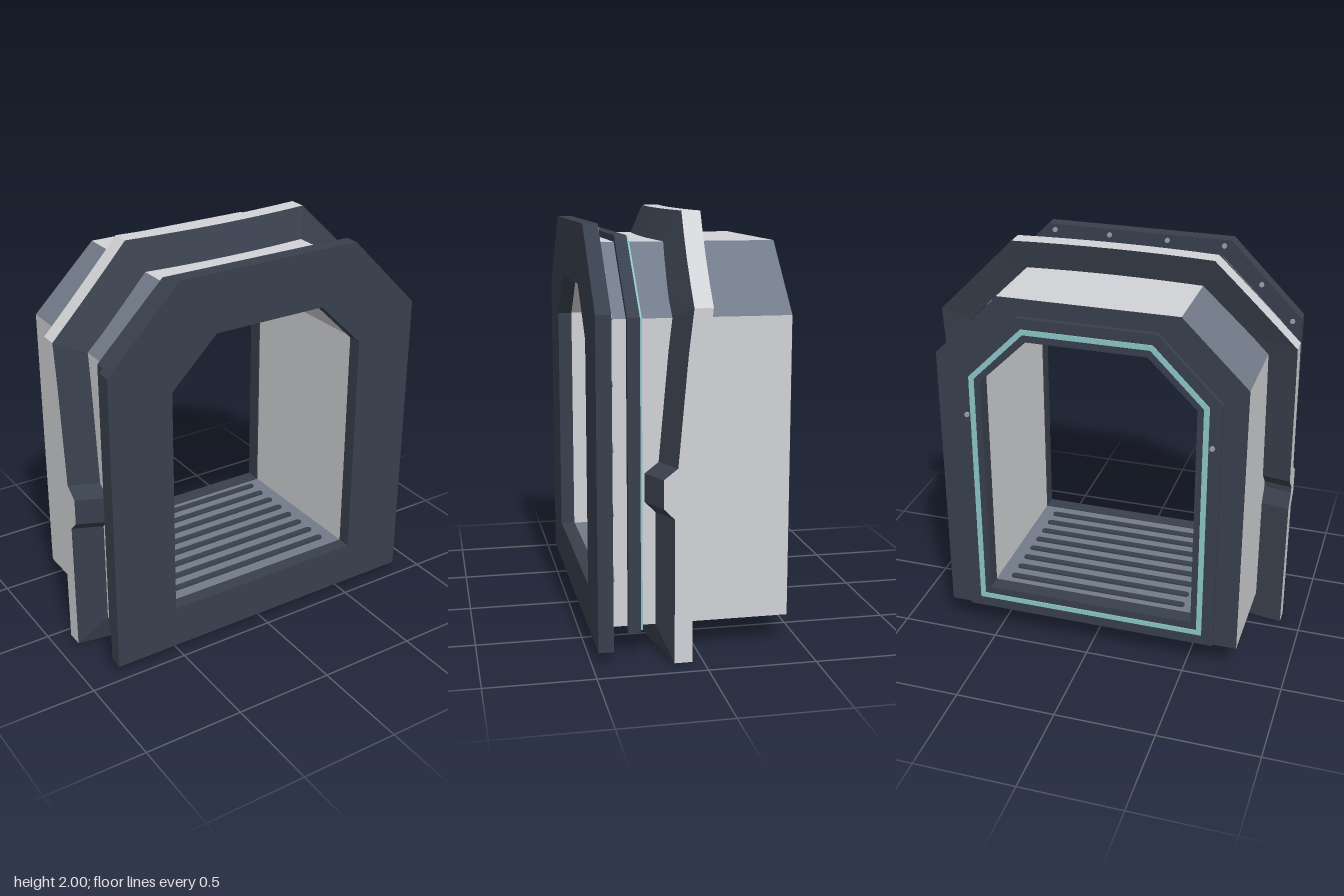
import * as THREE from 'three';

const mat = (name, color, side = THREE.FrontSide) => {
  const m = new THREE.MeshStandardMaterial({ color, side });
  m.name = name;
  return m;
};

// Six-cornered doorway outline, counter-clockwise seen from the front
const outline = (w, bottom, shoulder, topW, top) =>
  [[-w, bottom], [w, bottom], [w, shoulder], [topW, top], [-topW, top], [-w, shoulder]];

const HOLE = outline(0.525, 0.27, 1.43, 0.29, 1.66);
const LINER = outline(0.53, 0.265, 1.432, 0.293, 1.665);
const SHELL = outline(0.755, 0.14, 1.545, 0.435, 1.86);

// Flat ring between two outlines, from z0 to z1
function ring(outer, inner, z0, z1) {
  const toV = (p) => p.map(([x, y]) => new THREE.Vector2(x, y));
  const shape = new THREE.Shape(toV(outer));
  shape.holes.push(new THREE.Path(toV(inner)));
  return new THREE.ExtrudeGeometry(shape, { depth: z1 - z0, bevelEnabled: false }).translate(0, 0, z0);
}

// Flat-shaded surface from a list of four-cornered faces
function quads(list) {
  const pos = [];
  for (const [a, b, c, d] of list) pos.push(...a, ...b, ...c, ...a, ...c, ...d);
  const g = new THREE.BufferGeometry();
  g.setAttribute('position', new THREE.Float32BufferAttribute(pos, 3));
  g.computeVertexNormals();
  return g;
}

// Walls of an outline, one face per side; inward flips them
function walls(pts, sides, z0, z1, inward = false) {
  return quads(sides.map((i) => {
    const p = pts[i], q = pts[(i + 1) % 6];
    const f = [[...p, z0], [...q, z0], [...q, z1], [...p, z1]];
    return inward ? f.reverse() : f;
  }));
}

// Linear lookup through [key, value] pairs
function lookup(table, v) {
  for (let i = 1; i < table.length; i++) {
    const [a, fa] = table[i - 1], [b, fb] = table[i];
    if (v <= b) return fa + (fb - fa) * (v - a) / (b - a);
  }
  return table[table.length - 1][1];
}

// Hull collar profile: front and back depth by height, bowed across the width
const FRONT = [[0, 0.22], [0.67, 0.22], [0.72, 0.27], [0.85, 0.27], [0.9, 0.205],
  [1.2, 0.178], [1.4, 0.16], [1.6, 0.136], [2, 0.047]];
const BACK = [[0, 0.138], [0.69, 0.138], [0.76, 0.188], [0.79, 0.188], [0.86, 0.118],
  [1.2, 0.09], [1.4, 0.073], [1.6, 0.051], [2, -0.041]];

function collarFaces() {
  const outer = outline(0.895, 0, 1.6, 0.495, 2);
  const heights = [0.3, 0.5, 0.67, 0.69, 0.72, 0.76, 0.79, 0.85, 0.86, 0.9, 1.05, 1.2, 1.3, 1.4];
  const steps = [10, 0, 4, 8, 4, 0];
  const pairs = [];
  for (let i = 0; i < 6; i++) {
    const o = outer[i], p = outer[(i + 1) % 6], s = SHELL[i], t = SHELL[(i + 1) % 6];
    if (steps[i]) {
      for (let k = 0; k < steps[i]; k++) {
        const u = k / steps[i];
        const mix = (a, b) => [a[0] + (b[0] - a[0]) * u, a[1] + (b[1] - a[1]) * u];
        pairs.push([mix(o, p), mix(s, t)]);
      }
    } else {
      // Upright sides keep the step level from edge to shell
      pairs.push([o, s]);
      const ys = i === 1 ? heights : [...heights].reverse();
      for (const y of ys) pairs.push([[o[0], y], [s[0], y]]);
    }
  }
  const bow = (x) => 0.11 * x * x;
  const section = pairs.map(([[x, y], [a, b]]) => ({
    of: [x, y, lookup(FRONT, y) - bow(x)],
    ob: [x, y, lookup(BACK, y) - bow(x)],
    nf: [a, b, lookup(FRONT, b) - bow(a) + 0.035],
    nb: [a, b, lookup(BACK, b) - bow(a)],
  }));
  const rim = [], faces = [];
  section.forEach((s, i) => {
    const n = section[(i + 1) % section.length];
    rim.push([s.ob, n.ob, n.of, s.of]);
    faces.push([s.of, n.of, n.nf, s.nf], [s.nb, n.nb, n.ob, s.ob]);
  });
  return { rim, faces };
}

export function createModel() {
  const dark = mat('dark navy', 0x39404d);
  const light = mat('pale grey', 0xd2d3d6);
  const slate = mat('slate', 0x727b89);
  const teal = mat('teal seal', 0x8cc6c8);
  const steel = mat('steel', 0x9aa0a8);

  const root = new THREE.Group();
  root.name = 'dockingHatch';
  const add = (name, geo, material, parent = root) => {
    const m = new THREE.Mesh(geo, material);
    m.name = name;
    parent.add(m);
    return m;
  };

  // Tunnel skin: pale sides and roof, slate shoulders, dark belly
  add('tunnelSidesAndRoof', walls(SHELL, [1, 3, 5], -0.432, 0.4), light);
  add('tunnelShoulders', walls(SHELL, [2, 4], -0.432, 0.4), slate);
  add('tunnelBelly', walls(SHELL, [0], -0.432, 0.4), dark);

  // Tunnel lining and floor
  add('lining', walls(LINER, [1, 2, 3, 4, 5], -0.38, 0.4, true), light);
  add('floor', walls(LINER, [0], -0.38, 0.4, true), slate);

  // Floor treads with rounded ends
  const treads = new THREE.Group();
  treads.name = 'floorTreads';
  root.add(treads);
  const bar = new THREE.Shape();
  bar.absarc(0.445, 0, 0.017, -Math.PI / 2, Math.PI / 2);
  bar.absarc(-0.445, 0, 0.017, Math.PI / 2, Math.PI * 1.5);
  const barGeo = new THREE.ExtrudeGeometry(bar, { depth: 0.009, bevelEnabled: false, curveSegments: 6 })
    .rotateX(-Math.PI / 2);
  for (let i = 0; i < 8; i++) {
    add('tread', barGeo, dark, treads).position.set(0, 0.266, 0.32 - i * 0.092);
  }

  // Front flange, clamp ring and its seal
  add('frontFlange', ring(outline(0.845, 0.055, 1.575, 0.475, 1.945), HOLE, 0.4, 0.47), dark);
  add('clampRing', ring(outline(0.785, 0.115, 1.552, 0.445, 1.89), SHELL, 0.265, 0.322), dark);
  add('clampSeal', ring(outline(0.777, 0.123, 1.55, 0.442, 1.88), SHELL, 0.255, 0.265), teal);

  // Hull collar around the tunnel
  const { rim, faces } = collarFaces();
  add('collarRim', quads(rim), light);
  add('collarFaces', quads(faces), dark);

  // Rear bulkhead, raised plate and seal
  add('rearBulkhead', ring(outline(0.753, 0.142, 1.544, 0.434, 1.858), HOLE, -0.434, -0.38), dark);
  add('rearPlate', ring(outline(0.64, 0.15, 1.468, 0.332, 1.775), HOLE, -0.458, -0.434), dark);
  add('rearSeal', ring(outline(0.582, 0.205, 1.452, 0.313, 1.722),
    outline(0.556, 0.231, 1.442, 0.303, 1.696), -0.463, -0.458), teal);

  // Studs on the back of the flange and on the rear plate
  const studs = new THREE.Group();
  studs.name = 'studs';
  root.add(studs);
  const studGeo = new THREE.CylinderGeometry(0.013, 0.013, 0.012, 8).rotateX(Math.PI / 2);
  const spots = [[0.815, 0.39], [0.815, 0.69], [0.815, 0.98], [0.815, 1.27], [0.8, 1.56],
    [0.635, 1.735], [0.44, 1.915], [0.15, 1.915]];
  for (const side of [-1, 1]) {
    for (const [x, y] of spots) add('flangeStud', studGeo, steel, studs).position.set(side * x, y, 0.397);
    add('rearStud', studGeo, steel, studs).position.set(side * 0.6, 1.25, -0.461);
  }
  return root;
}
